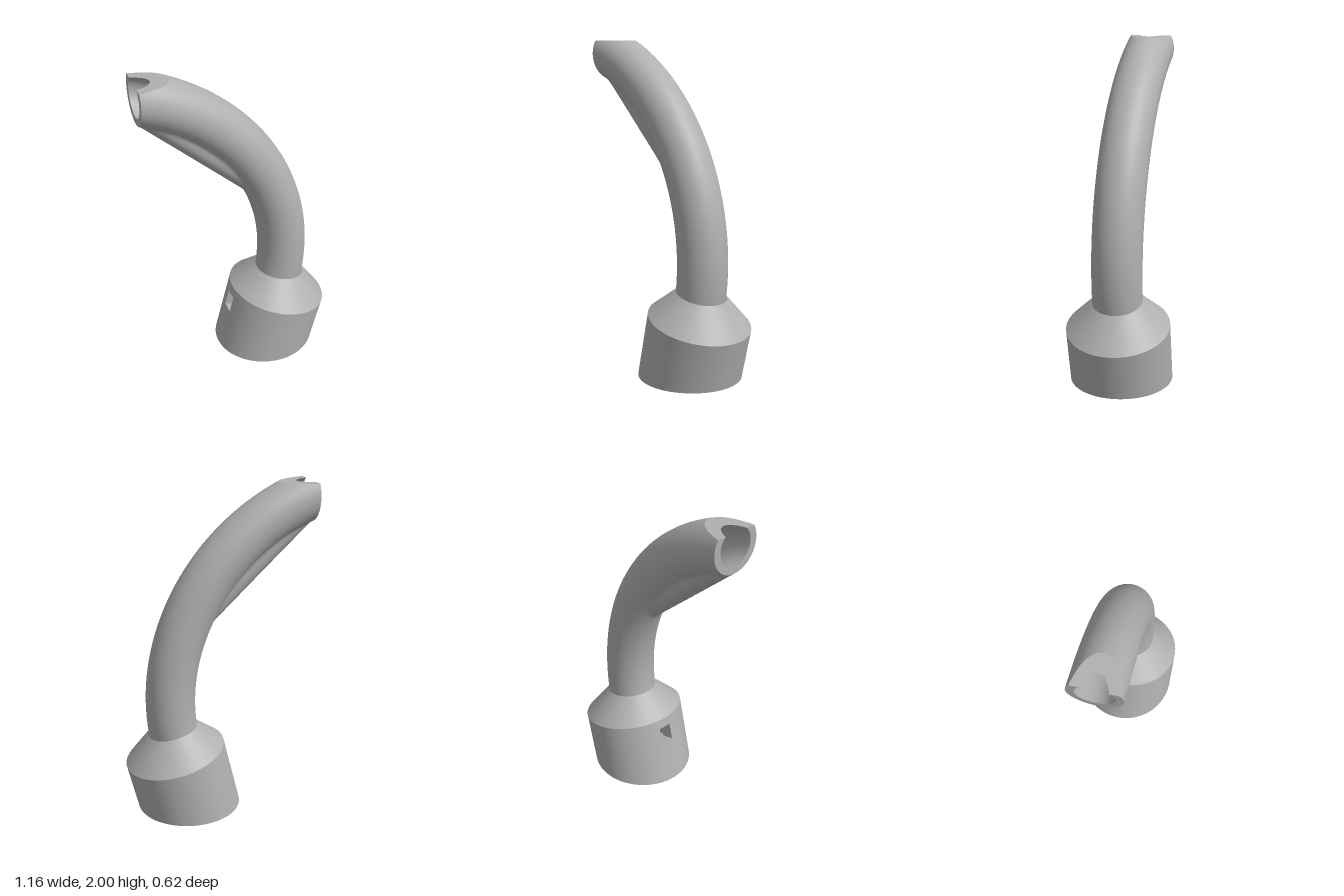
import * as THREE from 'three';
import { mergeGeometries } from 'three/addons/utils/BufferGeometryUtils.js';

const SEG = 96, HALF = SEG / 2;
const TILT = 13.5 * Math.PI / 180;

// Joins closed rings of points into one smooth band; skip(row, column) leaves openings
function loft(rings, skip = () => false) {
  const pos = [], index = [];
  rings.forEach(ring => ring.forEach(p => pos.push(...p)));
  for (let k = 0; k < rings.length - 1; k++) {
    for (let j = 0; j < SEG; j++) {
      if (skip(k, j)) continue;
      const a = k * SEG + j, b = k * SEG + (j + 1) % SEG;
      index.push(a, a + SEG, b, b, a + SEG, b + SEG);
    }
  }
  const g = new THREE.BufferGeometry();
  g.setAttribute('position', new THREE.Float32BufferAttribute(pos, 3));
  g.setIndex(index);
  g.computeVertexNormals();
  return g;
}

const columns = fn => Array.from({ length: SEG }, (_, j) => fn(j));

// ---- Curved spout: an arc about (CX, CY), cut by a vertical and a level plane
const CX = -0.983, CY = 0.7, ARC = 1.283, CUT_X = -0.58, CUT_Y = 2;
const OUTER = 0.15, BORE = 0.108, FIN = 0.08;
const CORNER = Math.hypot(CUT_X - CX, CUT_Y - CY);
const FIN_MID = 0.827, FIN_DIST = 1.0522;

// Angle around the tube, with columns placed on the corner of the two cuts
function around(j, r) {
  const k = 15, kink = Math.acos((CORNER - ARC) / r);
  const m = j <= HALF ? j : SEG - j;
  const phi = m <= k ? kink * m / k : kink + (Math.PI - kink) * (m - k) / (HALF - k);
  return j <= HALF ? phi : -phi;
}

function endAngle(phi, r) {
  const R = ARC + r * Math.cos(phi);
  return R > CORNER ? Math.asin((CUT_Y - CY) / R) : Math.acos((CUT_X - CX) / R);
}

// Radius of the tube, widened on the inside of the bend by a straight rounded rib
function ribRadius(phi, t) {
  const c = ARC - FIN_DIST / Math.cos(t - FIN_MID) - FIN;
  const cos = -Math.cos(phi), q = FIN * FIN - (c * Math.sin(phi)) ** 2;
  if (c <= 0 || cos <= 0 || q <= 0) return OUTER;
  return Math.max(OUTER, c * cos + Math.sqrt(q));
}

function spoutRing(r, start, v, rib) {
  return columns(j => {
    const phi = around(j, r);
    const t = start + (endAngle(phi, r) - start) * v;
    const rr = rib ? ribRadius(phi, t) : r;
    const R = ARC + rr * Math.cos(phi);
    return [CX + R * Math.cos(t), CY + R * Math.sin(t), rr * Math.sin(phi)];
  });
}

function spoutGeometry() {
  const rows = 72, skin = [], bore = [];
  for (let k = 0; k <= rows; k++) {
    skin.push(spoutRing(OUTER, -0.16, k / rows, true));
    bore.push(spoutRing(BORE, -0.14, 1 - k / rows, false));
  }
  const rim = loft([spoutRing(OUTER, 0, 1, false), spoutRing(BORE, 0, 1, false)]);
  // Keep the two cut planes crisp
  const flatRim = rim.toNonIndexed();
  flatRim.computeVertexNormals();
  return mergeGeometries([loft(skin).toNonIndexed(), flatRim, loft(bore).toNonIndexed()]);
}

// ---- Tilted collar
// Ring at distance s along the tilted axis; s = null lies on the ground
function collarRing(s, r, shift = 0) {
  return columns(j => collarPoint(s, r, j, shift));
}

function collarPoint(s, r, j, shift = 0) {
  const phi = j / SEG * Math.PI * 2, u = r * Math.cos(phi);
  const d = s === null ? u * Math.tan(TILT) : s;
  return [
    0.19 + shift + d * Math.sin(TILT) + u * Math.cos(TILT),
    d * Math.cos(TILT) - u * Math.sin(TILT),
    r * Math.sin(phi),
  ];
}

const WALL = 0.311, MOUTH = 0.207, GROOVE = 0.235, LOW = 0.205, HIGH = 0.315, SHOULDER = 0.375, NECK = 0.54;
const inSlot = j => j >= HALF - 2 && j < HALF + 2;

function collarGeometry() {
  const neckShift = -0.022;
  const bands = [
    loft([collarRing(NECK, BORE, neckShift), collarRing(SHOULDER, MOUTH)]),
    loft([collarRing(SHOULDER, MOUTH), collarRing(HIGH, MOUTH)]),
    loft([collarRing(HIGH, MOUTH), collarRing(HIGH, GROOVE)]),
    loft([collarRing(HIGH, GROOVE), collarRing(LOW, GROOVE)], (k, j) => inSlot(j)),
    loft([collarRing(LOW, GROOVE), collarRing(LOW, MOUTH)]),
    loft([collarRing(LOW, MOUTH), collarRing(null, MOUTH)]),
    loft([collarRing(null, MOUTH), collarRing(null, WALL)]),
    loft([collarRing(null, WALL), collarRing(LOW, WALL), collarRing(HIGH, WALL), collarRing(SHOULDER, WALL)],
      (k, j) => k === 1 && inSlot(j)),
    loft([collarRing(SHOULDER, WALL), collarRing(NECK, OUTER, neckShift)]),
  ];
  return mergeGeometries(bands);
}

// Four walls of the small slot through the collar
function slotGeometry() {
  const a = HALF - 2, b = HALF + 2;
  const loop = [[LOW, a], [LOW, b], [HIGH, b], [HIGH, a]];
  const pos = [];
  loop.forEach(([s, j], i) => {
    const [s2, j2] = loop[(i + 1) % 4];
    const p = collarPoint(s, WALL, j), q = collarPoint(s2, WALL, j2);
    const m = collarPoint(s, GROOVE, j), n = collarPoint(s2, GROOVE, j2);
    pos.push(...p, ...m, ...q, ...q, ...m, ...n);
  });
  const g = new THREE.BufferGeometry();
  g.setAttribute('position', new THREE.Float32BufferAttribute(pos, 3));
  g.computeVertexNormals();
  return g;
}

export function createModel() {
  const grey = new THREE.MeshStandardMaterial({ color: 0xb0b0b0, side: THREE.DoubleSide });
  grey.name = 'plain grey';
  const group = new THREE.Group();
  group.name = 'curvedNozzle';
  const add = (name, geometry) => {
    const mesh = new THREE.Mesh(geometry, grey);
    mesh.name = name;
    group.add(mesh);
  };
  add('spout', spoutGeometry());
  add('collar', collarGeometry());
  add('collarSlot', slotGeometry());
  return group;
}
